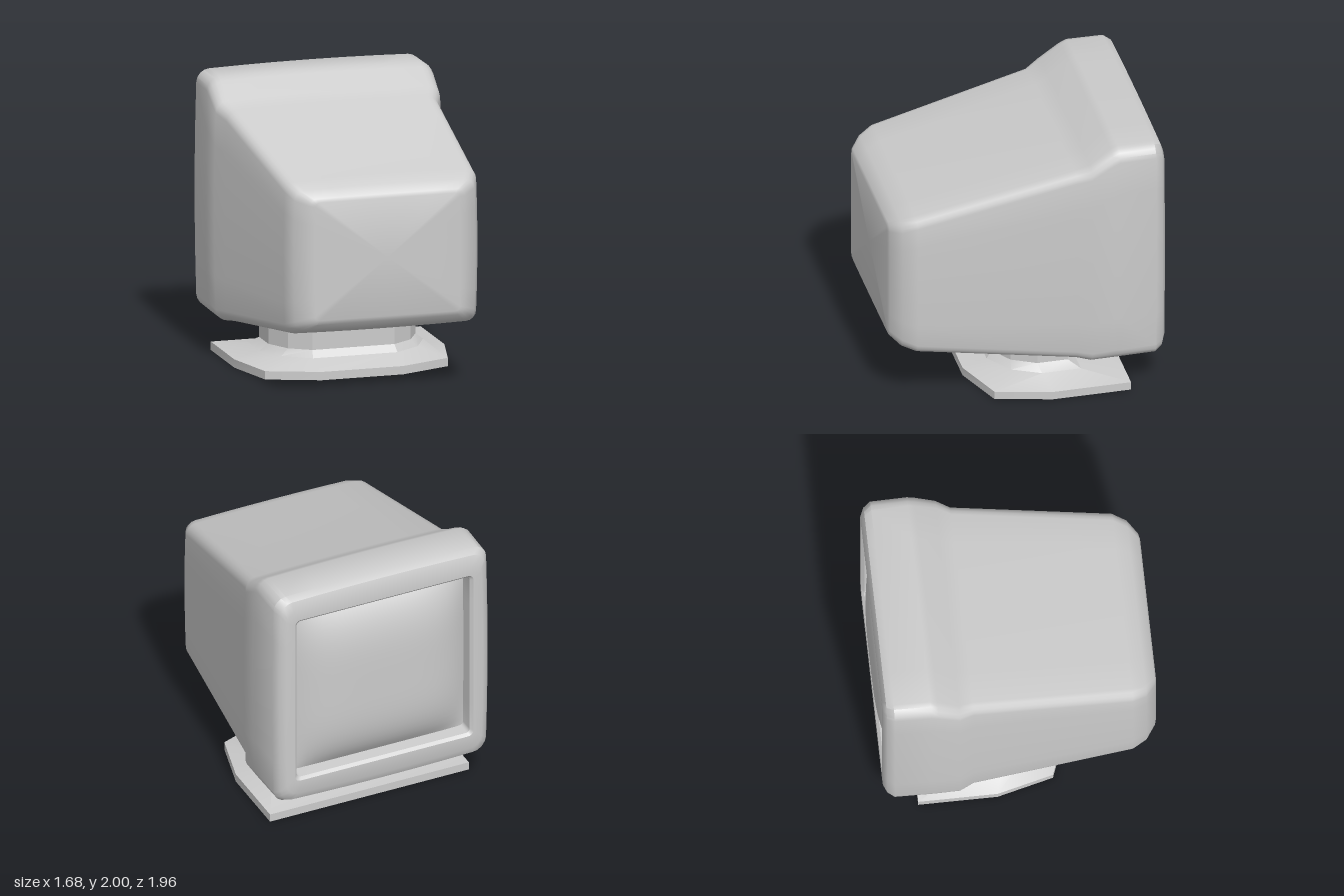
import * as THREE from 'three';
import { toCreasedNormals } from 'three/addons/utils/BufferGeometryUtils.js';

const material = new THREE.MeshStandardMaterial({ color: 0xcccccc });

// Skin a list of equal-length rings of [x, y, z], counter-clockwise about the loft direction
function loft(rings, { capStart = false, capEnd = false, crease = 0.6 } = {}) {
  const n = rings[0].length;
  const positions = rings.flat();
  const index = [];
  for (let i = 0; i < rings.length - 1; i++) {
    for (let j = 0; j < n; j++) {
      const k = (j + 1) % n;
      const a = i * n + j, b = i * n + k, c = b + n, d = a + n;
      index.push(a, b, c, a, c, d);
    }
  }
  const cap = (ring, start, flip) => {
    const center = [0, 1, 2].map(q => ring.reduce((s, p) => s + p[q], 0) / n);
    const m = positions.push(center) - 1;
    for (let j = 0; j < n; j++) {
      const a = start + j, b = start + (j + 1) % n;
      index.push(m, ...(flip ? [b, a] : [a, b]));
    }
  };
  if (capStart) cap(rings[0], 0, true);
  if (capEnd) cap(rings[rings.length - 1], (rings.length - 1) * n, false);
  const geometry = new THREE.BufferGeometry();
  geometry.setAttribute('position', new THREE.Float32BufferAttribute(positions.flat(), 3));
  geometry.setIndex(index);
  return toCreasedNormals(geometry, crease);
}

// Rounded rectangle whose sides swell slightly outward
function housingRing([z, hw, y0, y1, r, bulge = 0.018]) {
  const cy = (y0 + y1) / 2, hh = (y1 - y0) / 2;
  const arcSteps = 4, sideSteps = 6;
  const outline = [];
  [[1, 1], [-1, 1], [-1, -1], [1, -1]].forEach(([sx, sy], q) => {
    for (let s = 0; s <= arcSteps; s++) {
      const t = (q + s / arcSteps) * Math.PI / 2;
      outline.push([sx * (hw - r) + r * Math.cos(t), sy * (hh - r) + r * Math.sin(t)]);
    }
  });
  const points = [];
  outline.forEach((p, i) => {
    points.push(p);
    if (i % (arcSteps + 1) !== arcSteps) return;
    const next = outline[(i + 1) % outline.length];
    for (let s = 1; s < sideSteps; s++) {
      const t = s / sideSteps;
      points.push([p[0] + (next[0] - p[0]) * t, p[1] + (next[1] - p[1]) * t]);
    }
  });
  return points.map(([x, y]) => {
    const u = x / hw, v = y / hh;
    return [x * (1 + bulge * (1 - v * v)), cy + y * (1 + bulge * (1 - u * u)), z];
  });
}

// Symmetric stand outline from its left half: back corner, side, shoulder, front
function standRing(y, half) {
  const mirrored = half.map(([x, z]) => [-x, y, z]);
  return [...mirrored, ...half.map(([x, z]) => [x, y, z]).reverse()];
}

export function createModel() {
  const group = new THREE.Group();
  const add = (name, geometry) => {
    const mesh = new THREE.Mesh(geometry, material);
    mesh.name = name;
    group.add(mesh);
  };

  // Housing: recess wall, bezel, hood step, tapering shell, flat end
  // Each row: z, half width, bottom, top, corner radius, side swell
  const sections = [
    [-0.82, 0.66, 0.49, 1.78, 0.03, 0],
    [-0.945, 0.67, 0.48, 1.79, 0.03, 0],
    [-0.965, 0.69, 0.46, 1.81, 0.04, 0],
    [-0.965, 0.75, 0.36, 1.89, 0.08],
    [-0.94, 0.79, 0.305, 1.955, 0.09],
    [-0.89, 0.82, 0.28, 1.983, 0.09],
    [-0.63, 0.825, 0.28, 1.983, 0.09],
    [-0.58, 0.825, 0.28, 1.96, 0.09],
    [-0.43, 0.82, 0.28, 1.855, 0.08],
    [-0.33, 0.775, 0.295, 1.805, 0.07],
    [0.8, 0.70, 0.46, 1.55, 0.07],
    [0.9, 0.655, 0.495, 1.505, 0.07],
    [0.97, 0.565, 0.55, 1.455, 0.05, 0.008],
    [0.98, 0.53, 0.58, 1.43, 0.03, 0],
  ];
  add('housing', loft(sections.map(housingRing), { capEnd: true }));

  // Bulging glass set into the recess
  const screen = new THREE.PlaneGeometry(1.34, 1.31, 24, 24);
  const pos = screen.attributes.position;
  for (let i = 0; i < pos.count; i++) {
    const u = pos.getX(i) / 0.67, v = pos.getY(i) / 0.655;
    pos.setZ(i, 0.13 * (1 - u ** 4) * (1 - v ** 4));
  }
  screen.rotateY(Math.PI);
  screen.translate(0, 1.135, -0.85);
  screen.computeVertexNormals();
  add('screen', screen);

  // Stand: faceted base plate sloping up into the neck
  const plate = [[0.77, -0.72], [0.77, -0.16], [0.67, 0.24], [0.3, 0.38]];
  const foot = [[0.6, -0.4], [0.6, -0.12], [0.5, 0.08], [0.31, 0.21]];
  const neck = [[0.54, -0.32], [0.54, -0.1], [0.45, 0.07], [0.3, 0.17]];
  add('stand', loft([
    standRing(0, plate),
    standRing(0.06, plate),
    standRing(0.12, foot),
    standRing(0.17, neck),
    standRing(0.42, neck),
  ], { capStart: true, capEnd: true, crease: 0.4 }));

  return group;
}
